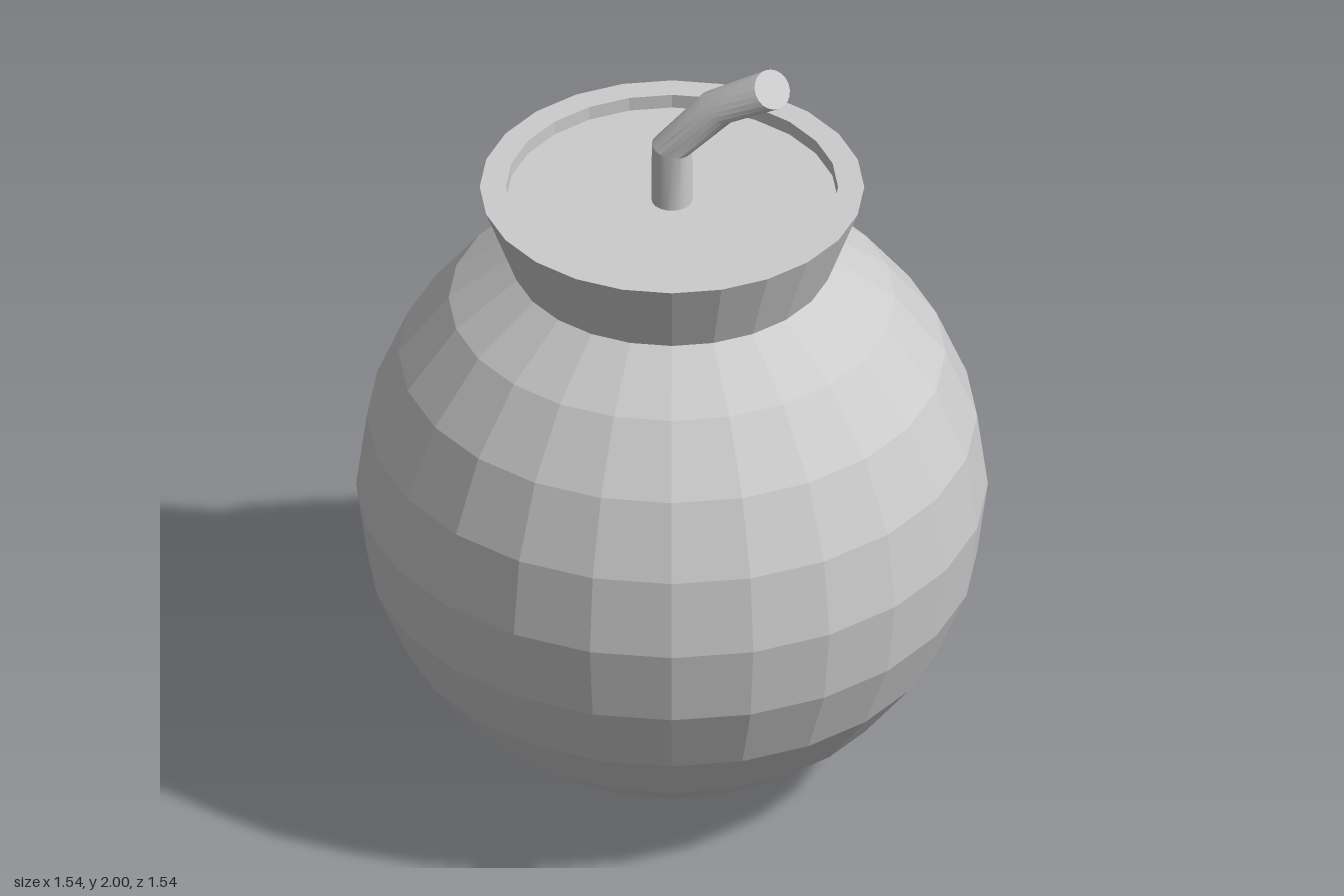
import * as THREE from 'three';
import { toCreasedNormals } from 'three/addons/utils/BufferGeometryUtils.js';

const SIDES = 24;

export function createModel() {
  const model = new THREE.Group();
  const faceted = new THREE.MeshStandardMaterial({ color: 0xcccccc, flatShading: true });
  const smooth = new THREE.MeshStandardMaterial({ color: 0xcccccc });

  const add = (name, geometry, material) => {
    const mesh = new THREE.Mesh(geometry, material);
    mesh.name = name;
    model.add(mesh);
    return mesh;
  };
  const lathe = (points) =>
    new THREE.LatheGeometry(points.map(([r, y]) => new THREE.Vector2(r, y)), SIDES);

  // Round body, open at the top where the collar sits (two of twelve rings removed)
  const body = add('body',
    new THREE.SphereGeometry(0.772, SIDES, 10, 0, Math.PI * 2, Math.PI / 6, Math.PI * 5 / 6), faceted);
  body.position.y = 0.775;

  // Flared collar with a flat rim and a shallow recess
  add('collar', lathe([[0.37, 1.44], [0.394, 1.44], [0.47, 1.645], [0.406, 1.645], [0.406, 1.608]]), faceted);
  add('lid', lathe([[0.406, 1.608], [0, 1.608]]), faceted);

  // Bent fuse: a cylinder whose rings are moved onto tilted circles
  const rings = [
    { centre: [0, 1.6, 0], normal: [0, 1, 0] },
    { centre: [0, 1.765, 0], normal: [0.16, 0.98, 0.08] },
    { centre: [0.112, 1.886, 0.01], normal: [0.45, 0.86, 0.25] },
    { centre: [0.245, 1.962, 0.047], normal: [0.5, 0.62, 0.61] },
  ].map(({ centre, normal }) => ({
    centre: new THREE.Vector3(...centre),
    turn: new THREE.Quaternion().setFromUnitVectors(
      new THREE.Vector3(0, 1, 0), new THREE.Vector3(...normal).normalize()),
  }));
  const fuse = new THREE.CylinderGeometry(0.05, 0.05, rings.length - 1, 20, rings.length - 1);
  const position = fuse.attributes.position;
  const v = new THREE.Vector3();
  for (let i = 0; i < position.count; i++) {
    v.fromBufferAttribute(position, i);
    const ring = rings[Math.round(v.y + (rings.length - 1) / 2)];
    v.setY(0).applyQuaternion(ring.turn).add(ring.centre);
    position.setXYZ(i, v.x, v.y, v.z);
  }
  add('fuse', toCreasedNormals(fuse, 0.45), smooth);

  return model;
}
